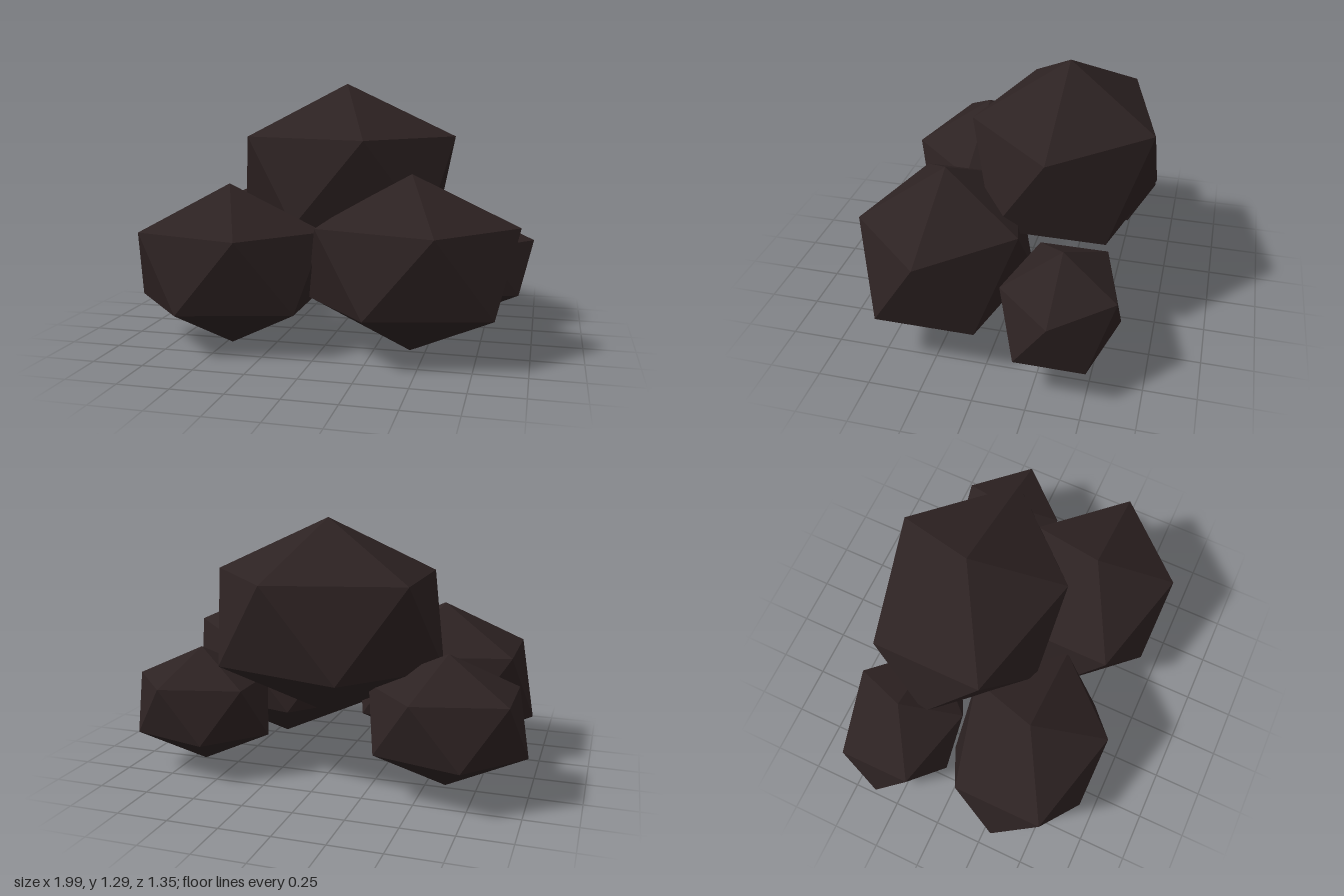
import * as THREE from 'three';

// Icosahedron standing on a corner, with an upper-ring corner towards +x
function lumpGeometry(size) {
  const geometry = new THREE.IcosahedronGeometry(1, 0);
  geometry.rotateZ(-Math.atan(2 / (1 + Math.sqrt(5))));
  geometry.scale(1.25 * size, 0.94 * size, size);
  geometry.computeVertexNormals();
  return geometry;
}

export function createModel() {
  const group = new THREE.Group();
  group.name = 'lumpPile';
  const darkBrown = new THREE.MeshStandardMaterial({ color: 0x2d2222 });
  darkBrown.name = 'darkBrown';
  darkBrown.flatShading = true;

  // name, size, centre
  const lumps = [
    ['topLump', 0.518, 0, 0.804, -0.234],
    ['frontLeftLump', 0.458, 0.43, 0.445, 0.27],
    ['frontRightLump', 0.43, -0.47, 0.405, 0.305],
    ['backRightLump', 0.341, -0.62, 0.375, -0.345],
    ['backLeftLump', 0.316, 0.64, 0.338, -0.34],
  ];
  for (const [name, size, x, y, z] of lumps) {
    const lump = new THREE.Mesh(lumpGeometry(size), darkBrown);
    lump.name = name;
    lump.position.set(x, y, z);
    group.add(lump);
  }
  return group;
}
